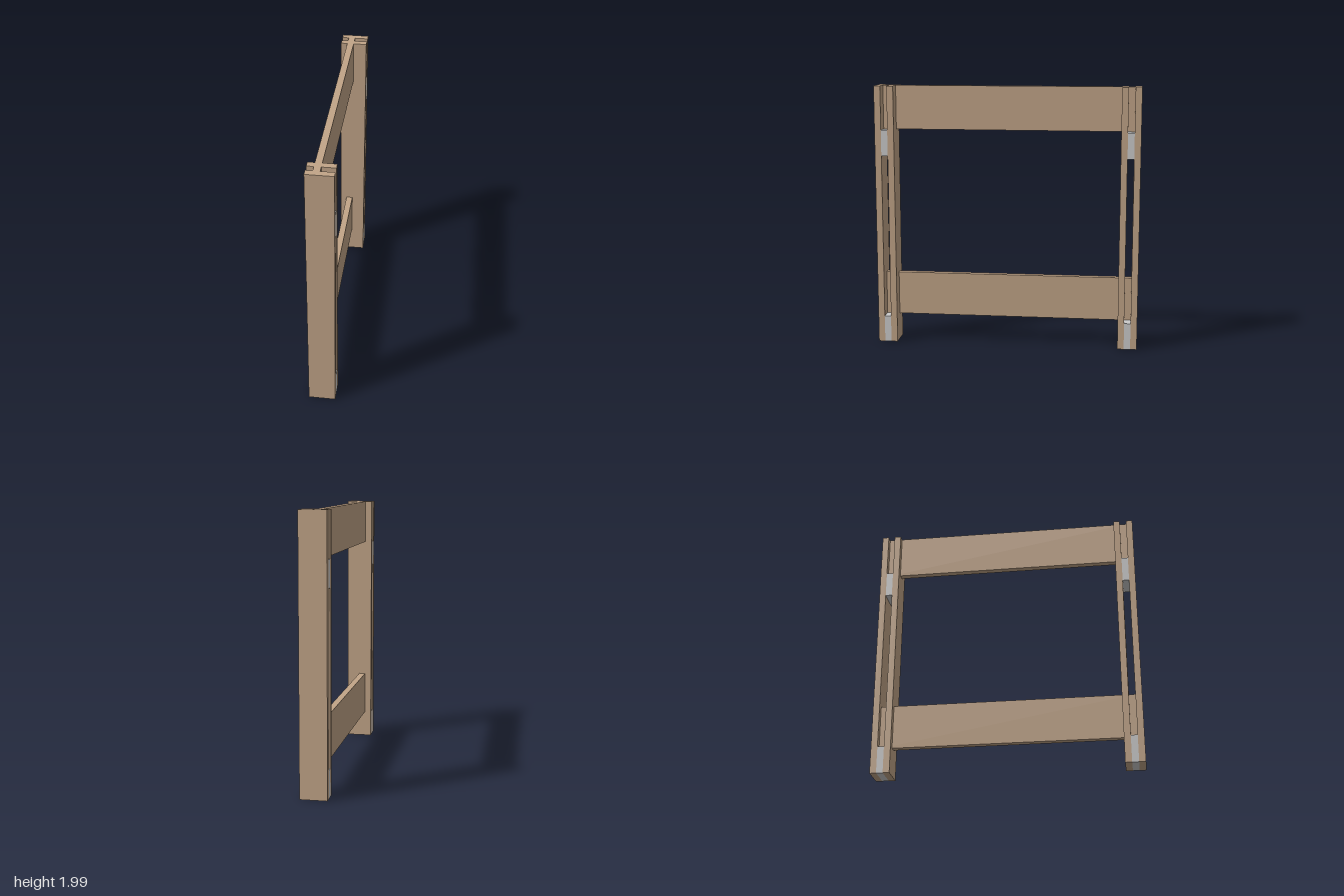
import * as THREE from 'three';

export function createModel() {
  const model = new THREE.Group();
  model.name = 'frame';
  const wood = new THREE.MeshStandardMaterial({ color: 0xc2a588 });
  wood.name = 'wood';
  const grey = new THREE.MeshStandardMaterial({ color: 0xcccccc });
  grey.name = 'spacer grey';

  const T = 0.049;      // board thickness
  const W = 0.197;      // post width
  const H = 1.985;      // total height
  const RAIL = 0.332;   // rail height
  const LOW = 0.203;    // underside of the lower rail
  const HIGH = H - RAIL; // underside of the upper rail

  // Box given by its extents on each axis
  function board(name, material, [x0, x1], [y0, y1], [z0, z1]) {
    const mesh = new THREE.Mesh(new THREE.BoxGeometry(x1 - x0, y1 - y0, z1 - z0), material);
    mesh.position.set((x0 + x1) / 2, (y0 + y1) / 2, (z0 + z1) / 2);
    mesh.name = name;
    return mesh;
  }

  // Posts: two boards with a slot between them, held apart by spacer blocks
  const wide = [-W / 2, W / 2];
  for (const [side, s] of [['front', 1], ['back', -1]]) {
    const post = new THREE.Group();
    post.name = side + 'Post';
    const layer = (i) => [s * (1 - i * T), s * (1 - (i + 1) * T)].sort((a, b) => a - b);
    post.add(
      board('outerBoard', wood, wide, [0, H], layer(0)),
      board('innerBoard', wood, wide, [0, H], layer(2)),
      board('lowerSpacer', grey, wide, [0, LOW], layer(1)),
      board('upperSpacer', grey, wide, [HIGH - 0.195, HIGH], layer(1)),
    );
    model.add(post);
  }

  // Rails resting on the spacers, their ends running into the post slots
  for (const [name, y] of [['lowerRail', LOW], ['upperRail', HIGH]]) {
    model.add(board(name, wood, [-T, 0], [y, y + RAIL], [T - 1, 1 - T]));
  }
  return model;
}
